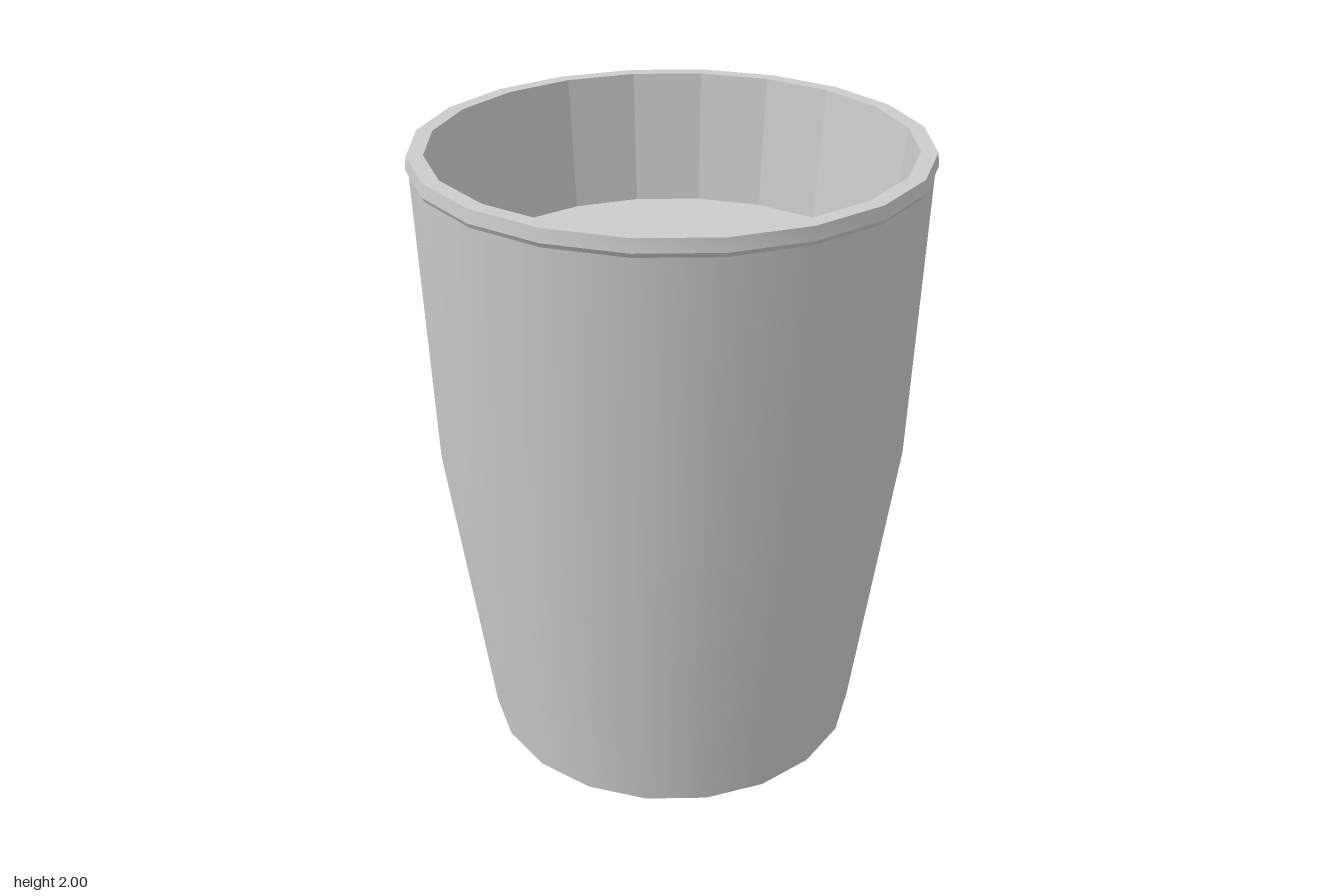
import * as THREE from 'three';
import { toCreasedNormals } from 'three/addons/utils/BufferGeometryUtils.js';

const SIDES = 20;
const FLOOR_Y = 1.57;

export function createModel() {
  const group = new THREE.Group();
  group.name = 'cup';
  const smooth = new THREE.MeshStandardMaterial({ color: 0xcccccc });
  const flat = new THREE.MeshStandardMaterial({ color: 0xcccccc, flatShading: true });

  const add = (name, geometry, material) => {
    const mesh = new THREE.Mesh(geometry, material);
    mesh.name = name;
    group.add(mesh);
    return mesh;
  };
  const lathe = (points) =>
    new THREE.LatheGeometry(points.map(([r, y]) => new THREE.Vector2(r, y)), SIDES);

  // Outer wall: steep lower taper, straighter top half, small lip
  const outer = lathe([[0.625, 0], [0.75, 1], [0.776, 1.945], [0.785, 1.96], [0.78, 2]]);
  add('outerWall', toCreasedNormals(outer, 0.5), smooth);

  // Flat top of the rim
  add('rim', lathe([[0.78, 2], [0.73, 2]]), smooth);

  // Faceted inner wall down to the floor
  add('innerWall', lathe([[0.73, 2], [0.69, FLOOR_Y]]), flat);

  // Raised inner floor and closed underside
  const floor = add('innerFloor', new THREE.CircleGeometry(0.69, SIDES), flat);
  floor.rotation.x = -Math.PI / 2;
  floor.position.y = FLOOR_Y;

  const base = add('base', new THREE.CircleGeometry(0.625, SIDES), flat);
  base.rotation.x = Math.PI / 2;

  return group;
}
